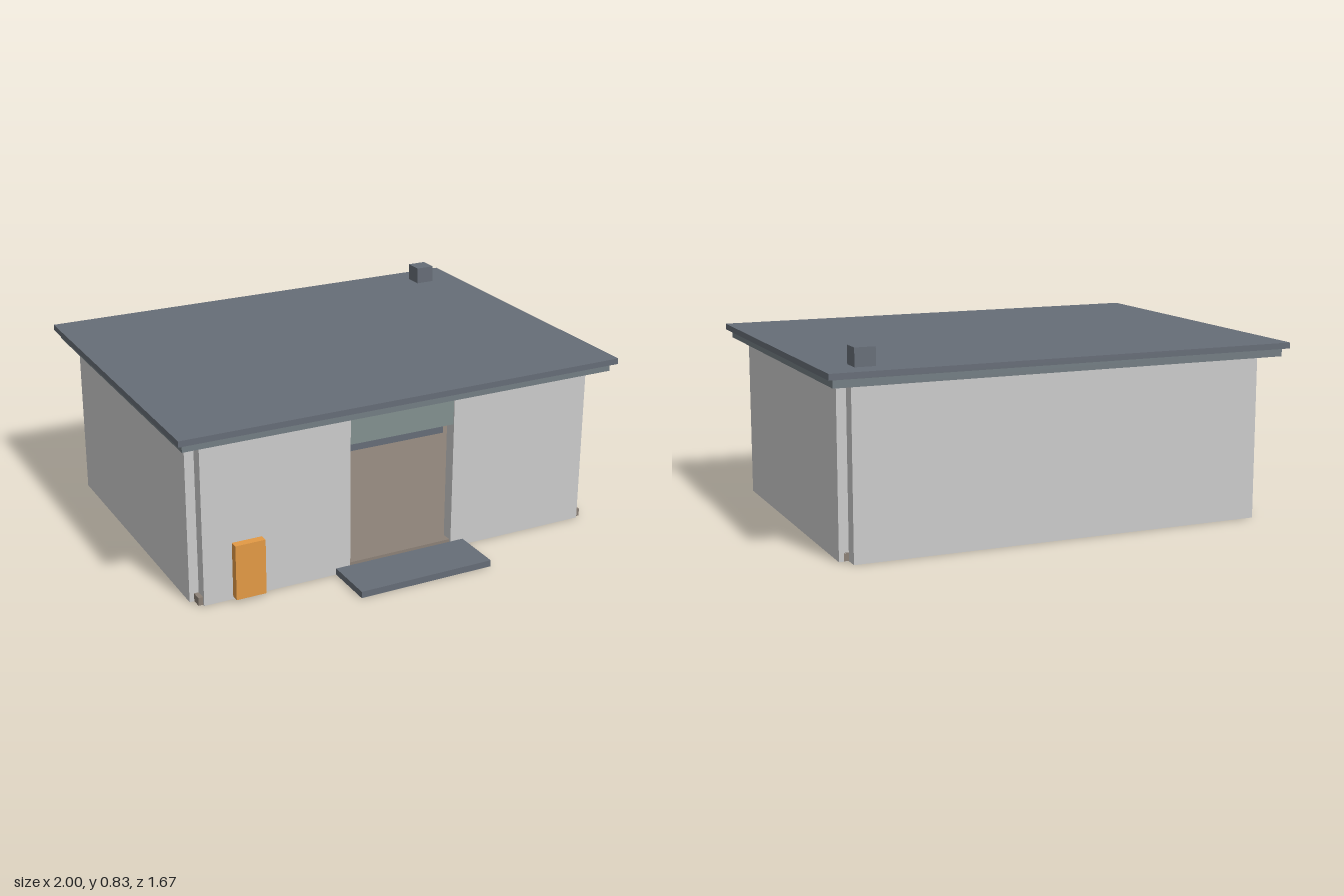
import * as THREE from 'three';

const material = (color) => new THREE.MeshStandardMaterial({ color });

export function createModel() {
  const house = new THREE.Group();
  house.name = 'house';

  const wall = material(0xcccccc);
  const slate = material(0x666d77);
  const trim = material(0x737d83);
  const lintelGrey = material(0x82908f);
  const wood = material(0x8c8177);
  const orange = material(0xe39a45);

  // Box given by its extents along each axis
  function block(name, mat, [x0, x1], [y0, y1], [z0, z1]) {
    const mesh = new THREE.Mesh(new THREE.BoxGeometry(x1 - x0, y1 - y0, z1 - z0), mat);
    mesh.position.set((x0 + x1) / 2, (y0 + y1) / 2, (z0 + z1) / 2);
    mesh.name = name;
    house.add(mesh);
  }

  const wallHeight = [0, 0.695];

  // Floor slab, showing in the notched front corners
  block('floor', wood, [-0.91, 0.91], [0.001, 0.035], [-0.70, 0.60]);

  // Walls meet at open notches on the corners
  block('backWall', wall, [-0.89, 0.89], wallHeight, [-0.76, -0.70]);
  for (const side of [-1, 1]) {
    const label = side > 0 ? 'left' : 'right';
    const span = (a, b) => (side > 0 ? [a, b] : [-b, -a]);
    block(label + 'SideWall', wall, span(0.885, 0.93), wallHeight, [-0.70, 0.555]);
    block(label + 'FrontWall', wall, span(0.24, 0.89), wallHeight, [0.555, 0.61]);
  }

  // Entrance: lintel over the opening and a low step
  block('lintel', lintelGrey, [-0.24, 0.24], [0.565, 0.695], [0.56, 0.605]);
  block('entranceStep', slate, [-0.305, 0.30], [0, 0.028], [0.61, 0.835]);

  // Orange box fixed to the front wall
  block('wallBox', orange, [-0.765, -0.635], [0.012, 0.25], [0.61, 0.645]);

  // Flat roof in two layers, with a chimney
  block('eaves', trim, [-0.977, 0.977], [0.695, 0.73], [-0.81, 0.66]);
  block('roof', slate, [-1, 1], [0.73, 0.755], [-0.835, 0.685]);
  block('chimney', slate, [0.78, 0.865], [0.755, 0.83], [-0.73, -0.645]);

  // Simple furniture inside
  block('counter', slate, [0.24, 0.82], [0.002, 0.22], [-0.66, -0.43]);
  block('cabinet', slate, [-0.86, -0.70], [0.002, 0.30], [-0.27, -0.11]);
  block('bench', wall, [-0.80, -0.45], [0.002, 0.08], [-0.56, -0.27]);

  return house;
}
